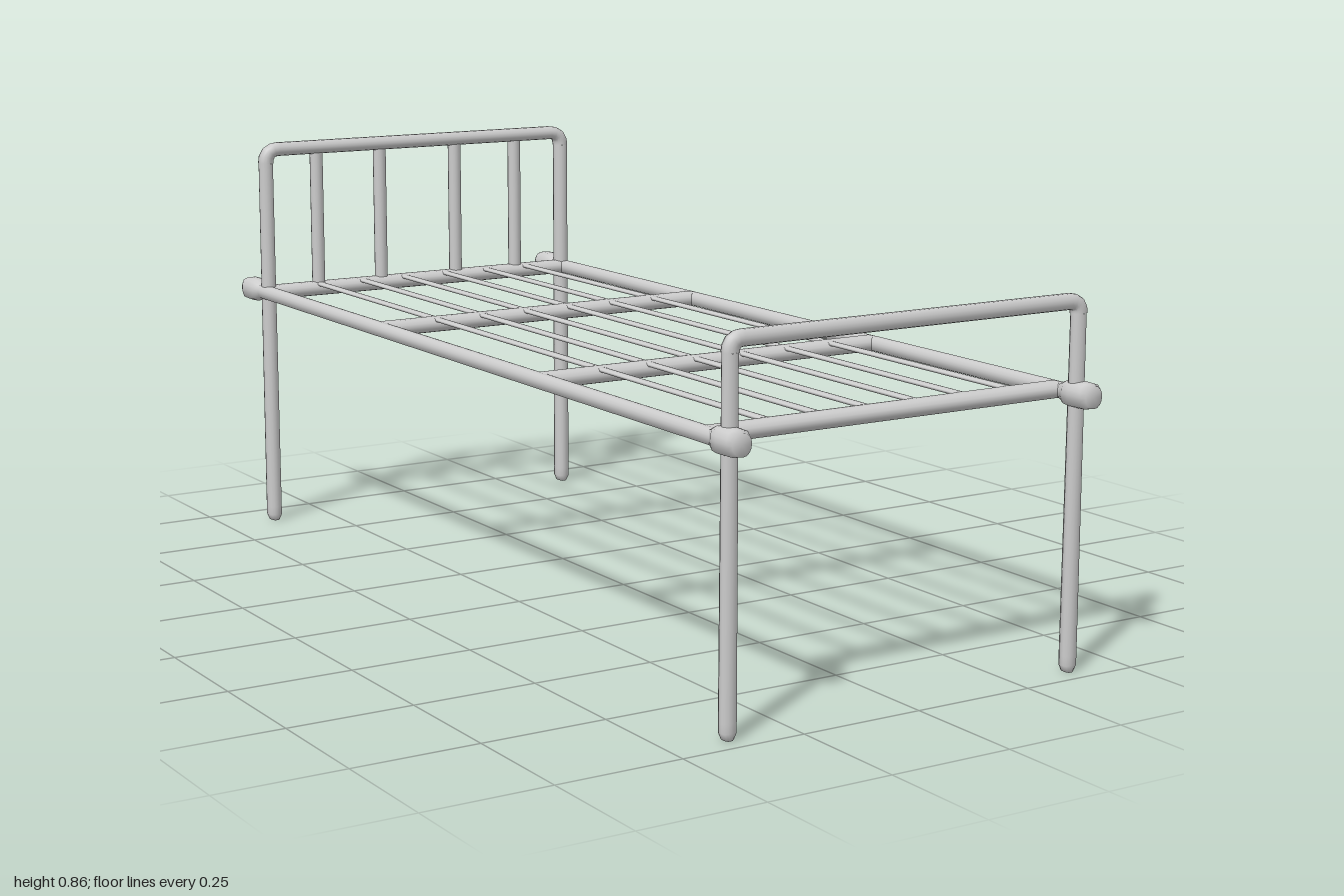
import * as THREE from 'three';

const mat = new THREE.MeshStandardMaterial({ color: 0xcccccc });
const V = (x, y, z) => new THREE.Vector3(x, y, z);
const SIDES = 16;

// Push a round section of radius r out into a soft square, keeping the smooth normals
function squareUp(geo, r) {
  const p = geo.attributes.position, n = geo.attributes.normal;
  for (let i = 0; i < p.count; i++) {
    const c = n.getZ(i) ** 2;
    const push = r * ((c * c + (1 - c) ** 2) ** -0.25 - 1);
    p.setXYZ(i, p.getX(i) + n.getX(i) * push, p.getY(i) + n.getY(i) * push, p.getZ(i) + n.getZ(i) * push);
  }
  return geo;
}

// Rod between two points, flattened if the second radius differs
function rod(name, a, b, r, r2 = r) {
  const geo = squareUp(new THREE.CylinderGeometry(r, r, a.distanceTo(b), SIDES, 1, true), r);
  geo.scale(1, 1, r2 / r);
  const m = new THREE.Mesh(geo, mat);
  m.name = name;
  m.position.copy(a).add(b).multiplyScalar(0.5);
  m.quaternion.setFromUnitVectors(V(0, 1, 0), b.clone().sub(a).normalize());
  return m;
}

// Soft-square turned part from a list of [radius, height] points
function turned(name, points, r) {
  const profile = points.map(p => new THREE.Vector2(...p));
  const m = new THREE.Mesh(squareUp(new THREE.LatheGeometry(profile, SIDES), r), mat);
  m.name = name;
  return m;
}

// Bent tube hoop: two legs, two rounded corners and a top bar
function hoop(name, top, z, bend, depth) {
  const g = new THREE.Group();
  g.name = name;
  const X = 0.381, r = 0.0148;
  for (const s of [-1, 1]) {
    const leg = turned('leg', [[0, 0], [r * 0.75, 0], [r, 0.012], [r, 0.03], [r, top - bend]], r);
    leg.position.x = s * X;
    const curve = new THREE.QuadraticBezierCurve3(
      V(s * X, top - bend, 0), V(s * X, top, 0), V(s * (X - bend), top, 0));
    const corner = new THREE.Mesh(squareUp(new THREE.TubeGeometry(curve, 4, r, SIDES), r), mat);
    corner.name = 'corner';
    g.add(leg, corner);
  }
  g.add(rod('topBar', V(bend - X, top, 0), V(X - bend, top, 0), r));
  g.scale.z = depth;
  g.position.z = z;
  return g;
}

export function createModel() {
  const bed = new THREE.Group();
  bed.name = 'bedFrame';
  const Y = 0.524, HEAD = -0.905, FOOT = 0.956;

  // Head and foot hoops
  bed.add(hoop('headHoop', 0.846, HEAD, 0.03, 1.08));
  bed.add(hoop('footHoop', 0.698, FOOT, 0.023, 0.85));

  // Upright bars of the headboard
  for (const x of [-0.257, -0.098, 0.096, 0.255])
    bed.add(rod('headBar', V(x, Y, HEAD), V(x, 0.845, HEAD), 0.013));

  // Side rails
  for (const s of [-1, 1])
    bed.add(rod('sideRail', V(s * 0.386, Y, -0.93), V(s * 0.386, Y, 0.94), 0.0145));

  // Cross rails, wider than tall
  for (const z of [HEAD, -0.335, 0.328, 0.896])
    bed.add(rod('crossRail', V(-0.386, Y, z), V(0.386, Y, z), 0.0155, 0.0205));

  // Long flat slats, level with the tops of the cross rails
  for (let i = 0; i < 6; i++) {
    const x = -0.259 + i * 0.107;
    bed.add(rod('slat', V(x, 0.535, -0.9), V(x, 0.535, 0.896), 0.0085, 0.004));
  }

  // Blocky rounded caps at the four corners
  const cap = [[0.014, 0], [0.017, 0.008], [0.0225, 0.018], [0.0245, 0.035], [0.0235, 0.068], [0.02, 0.08], [0, 0.08]];
  for (const sx of [-1, 1]) for (const sz of [-1, 1]) {
    const m = turned('cornerCap', cap, 0.023);
    m.rotation.x = sz * Math.PI / 2;
    m.position.set(sx * 0.385, 0.525, sz * 0.92);
    bed.add(m);
  }
  return bed;
}
